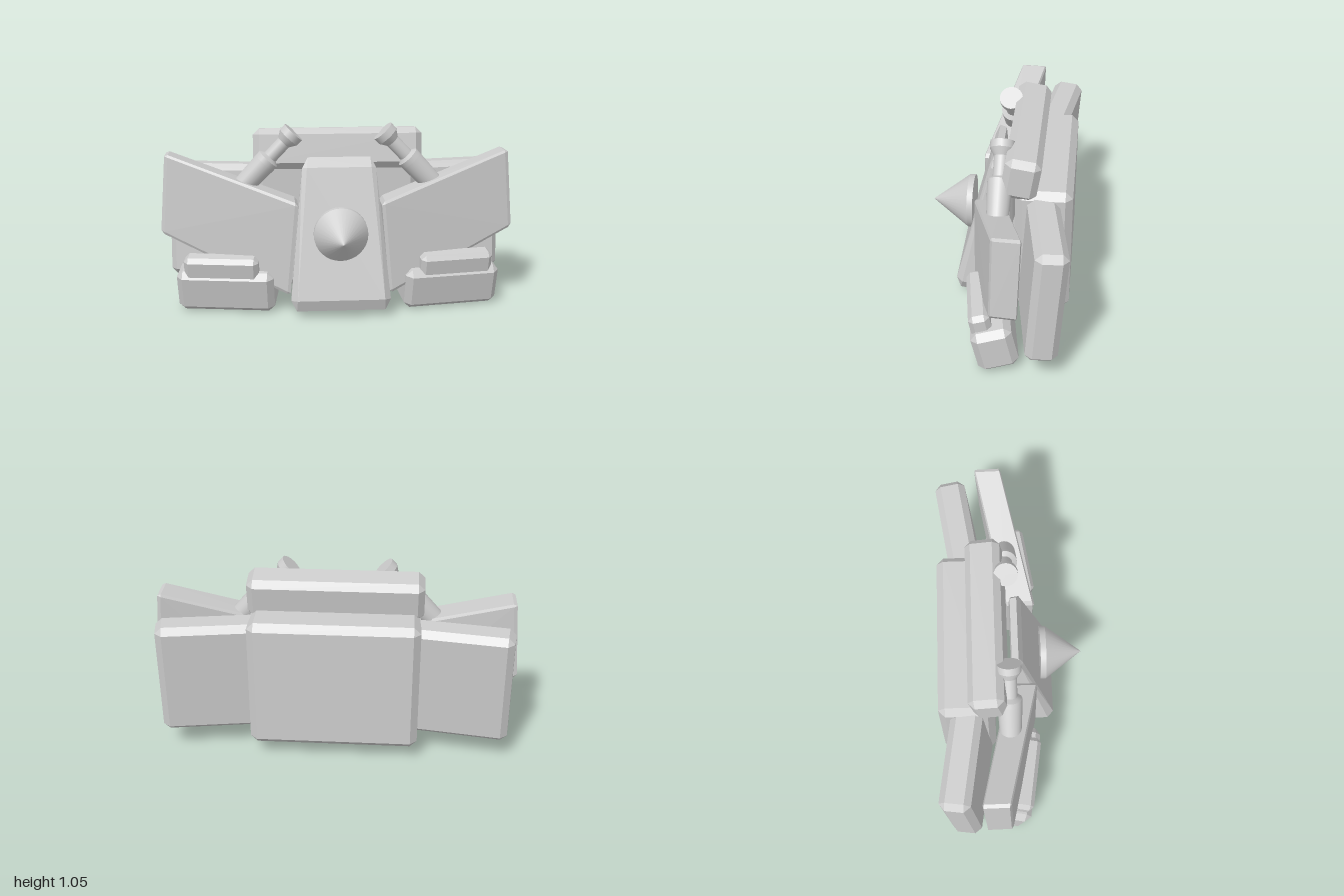
import * as THREE from 'three';
import { ConvexGeometry } from 'three/addons/geometries/ConvexGeometry.js';

const grey = new THREE.MeshStandardMaterial({ color: 0xcccccc });
grey.name = 'plain grey';

// Six-sided solid with chamfered edges. at(x, y, z) maps the -1..1 cube to space;
// inset gives the chamfer on each axis as a fraction of the half size.
function chamfered(at, inset) {
  const points = [];
  for (const x of [-1, 1]) for (const y of [-1, 1]) for (const z of [-1, 1]) {
    const corner = [x, y, z];
    for (let axis = 0; axis < 3; axis++) {
      const p = corner.map((v, i) => (i === axis ? v : v * (1 - inset[i])));
      points.push(at(...p));
    }
  }
  return new ConvexGeometry(points);
}

function chamferBox(w, h, d, c) {
  return chamfered((x, y, z) => new THREE.Vector3(x * w / 2, y * h / 2, z * d / 2),
    [2 * c / w, 2 * c / h, 2 * c / d]);
}

// Trilinear map over eight corners, ordered with x fastest, then y, then z
function blend(corners) {
  const v = corners.map((c) => new THREE.Vector3(...c));
  return (x, y, z) => {
    const out = new THREE.Vector3();
    v.forEach((c, i) => {
      const wx = (i & 1 ? 1 + x : 1 - x) / 2;
      const wy = (i & 2 ? 1 + y : 1 - y) / 2;
      const wz = (i & 4 ? 1 + z : 1 - z) / 2;
      out.addScaledVector(c, wx * wy * wz);
    });
    return out;
  };
}

function lathe(profile, segments) {
  // each straight run is its own lathe, so the edges between runs stay sharp
  const group = new THREE.Group();
  for (let i = 0; i < profile.length - 1; i++) {
    const run = [profile[i], profile[i + 1]].map(([r, y]) => new THREE.Vector2(r, y));
    group.add(new THREE.Mesh(new THREE.LatheGeometry(run, segments), grey));
  }
  return group;
}

export function createModel() {
  const model = new THREE.Group();
  model.name = 'armourTorso';

  const add = (name, object, position = [0, 0, 0], rotation = [0, 0, 0]) => {
    const part = object.isBufferGeometry ? new THREE.Mesh(object, grey) : object;
    part.name = name;
    part.children.forEach((c, i) => { c.name = name + 'Section' + (i + 1); });
    part.position.set(...position);
    part.rotation.set(...rotation, 'YXZ');
    model.add(part);
    return part;
  };

  // Central masses
  add('backBlock', chamferBox(0.92, 0.74, 0.3, 0.038), [0, 0.46, -0.248]);
  add('upperBlock', chamferBox(0.95, 0.23, 0.19, 0.035), [0, 0.902, -0.128], [-0.16, 0, 0]);

  // Sloping front panel, narrower at the top
  add('frontPanel', chamfered(blend([
    [-0.28, 0.015, 0.05], [0.28, 0.015, 0.05], [-0.2, 0.865, -0.01], [0.2, 0.865, -0.01],
    [-0.285, 0.055, 0.26], [0.285, 0.055, 0.26], [-0.2, 0.885, 0.045], [0.2, 0.885, 0.045],
  ]), [0.13, 0.14, 0.35]));

  // Pointed boss on the front panel
  add('frontSpike', lathe([[0, 0], [0.15, 0], [0.15, 0.032], [0, 0.235]], 32),
    [0, 0.478, 0.165], [Math.PI / 2, 0, 0]);

  for (const s of [1, -1]) {
    const side = s > 0 ? 'left' : 'right';

    // Rear side block, swept back
    add(side + 'RearBlock', chamferBox(0.56, 0.66, 0.17, 0.035),
      [s * 0.68, 0.465, -0.262], [-0.07, s * 0.15, 0]);

    // Raised wing plate
    add(side + 'Wing', chamfered(blend([
      [s * 0.28, 0.11, -0.02], [s * 1.0, 0.44, -0.162], [s * 0.23, 0.64, -0.02], [s * 0.965, 0.893, -0.178],
      [s * 0.28, 0.11, 0.14], [s * 1.0, 0.45, -0.02], [s * 0.23, 0.64, 0.14], [s * 0.965, 0.898, -0.03],
    ]), [0.05, 0.06, 0.1]));

    // Lower pod with its raised cap
    add(side + 'Pod', chamferBox(0.55, 0.245, 0.215, 0.035),
      [s * 0.632, 0.14, 0], [0.22, s * 0.15, 0]);
    add(side + 'PodCap', chamferBox(0.42, 0.15, 0.11, 0.025),
      [s * 0.66, 0.26, 0.066], [0.2, s * 0.15, 0]);

    // Stub arm: sleeve, rod and flared head, leaning inward
    add(side + 'StubArm', lathe([
      [0, -0.06], [0.058, -0.06], [0.066, 0.13], [0.066, 0.16], [0.04, 0.175],
      [0.04, 0.285], [0.065, 0.325], [0.065, 0.365], [0, 0.365],
    ], 24), [s * 0.5, 0.75, -0.018], [0, 0, s * 0.76]);
  }
  return model;
}
